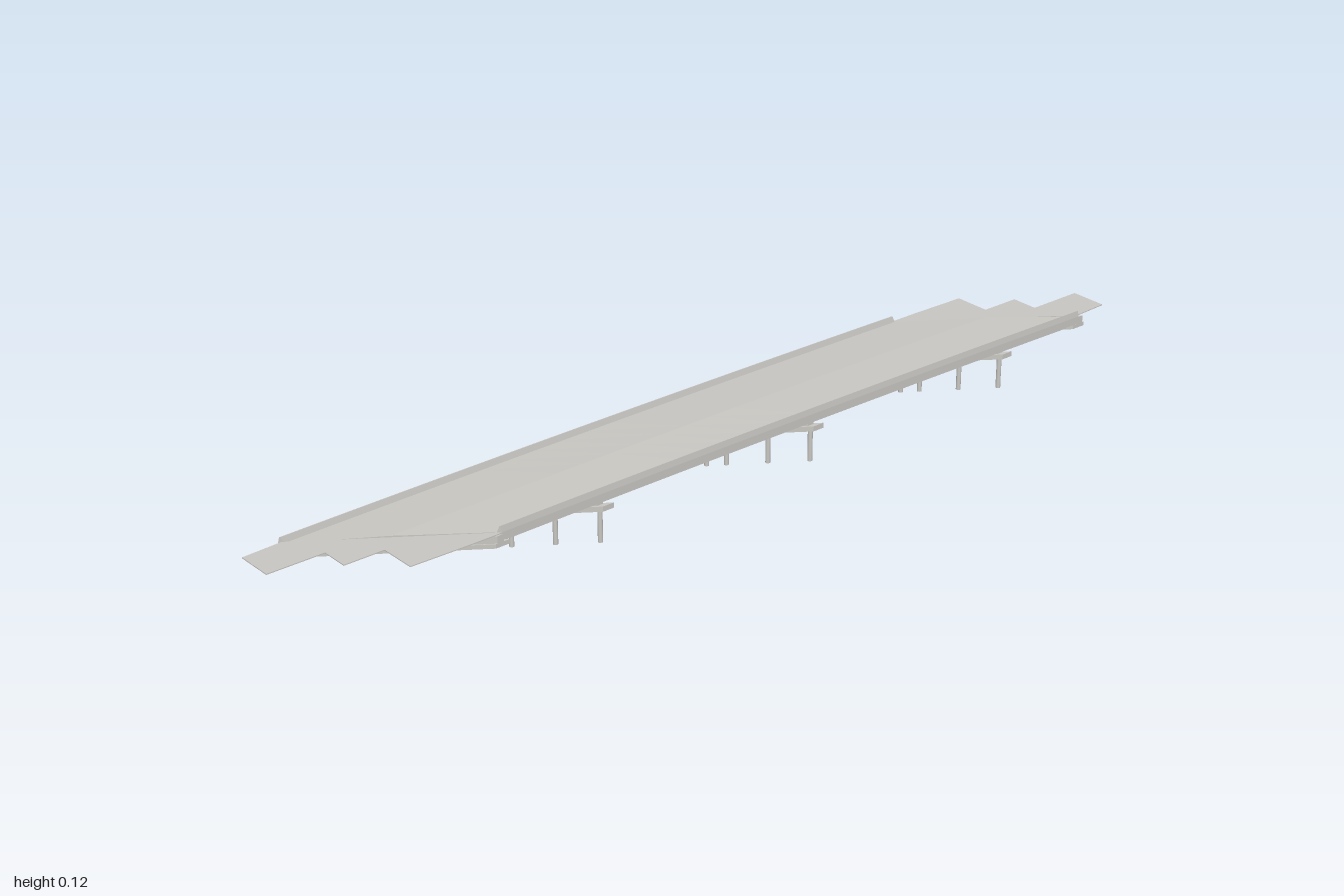
import * as THREE from 'three';

const SKEW = 1.44; // shift in x per unit of z
const camber = (x) => -0.006 * (x / 0.92) ** 2;

// Extrudes a [z, y] section along x, then skews it and bends it to the camber
function skewedPrism(section, x0, x1, { steps = 1, bend = true } = {}) {
  const shape = new THREE.Shape(section.map(([z, y]) => new THREE.Vector2(-z, y)));
  const geo = new THREE.ExtrudeGeometry(shape, { depth: x1 - x0, steps, bevelEnabled: false });
  geo.rotateY(Math.PI / 2);
  const p = geo.attributes.position;
  for (let i = 0; i < p.count; i++) {
    const x = p.getX(i) + x0 + SKEW * p.getZ(i);
    p.setXYZ(i, x, p.getY(i) + (bend ? camber(x) : 0), p.getZ(i));
  }
  geo.computeVertexNormals();
  return geo;
}

const rect = (z0, z1, y0, y1) => [[z0, y0], [z1, y0], [z1, y1], [z0, y1]];

export function createModel() {
  const model = new THREE.Group();
  model.name = 'skewedBridge';
  const concrete = new THREE.MeshStandardMaterial({ color: 0xc8c6c1 });
  concrete.name = 'concrete';
  const add = (name, geo, parent = model) => {
    const mesh = new THREE.Mesh(geo, concrete);
    mesh.name = name;
    parent.add(mesh);
    return mesh;
  };
  const L = 0.755;

  // Crowned deck slab
  add('deck', skewedPrism([
    [-0.115, 0.1], [0.115, 0.1], [0.115, 0.107], [0, 0.111], [-0.115, 0.107],
  ], -L, L, { steps: 24 }));

  // Tapered edge barriers
  for (const s of [-1, 1]) {
    const profile = [[0.115, 0.091], [0.115, 0.107], [0.1135, 0.12], [0.112, 0.12], [0.109, 0.107], [0.111, 0.091]];
    add(s > 0 ? 'frontBarrier' : 'backBarrier',
      skewedPrism(profile.map(([z, y]) => [s * z, y]), -L, L, { steps: 24 }));
  }

  // Longitudinal I-girders
  const girders = new THREE.Group();
  girders.name = 'girders';
  model.add(girders);
  const spacing = 0.0252;
  for (let i = -4; i <= 4; i++) {
    const z = i * spacing;
    const half = [[0.006, 0.084], [0.006, 0.087], [0.002, 0.089], [0.002, 0.097], [0.005, 0.1]];
    const section = [
      ...half.map(([a, y]) => [z + a, y]),
      ...half.slice().reverse().map(([a, y]) => [z - a, y]),
    ];
    add('girder', skewedPrism(section, -L + 0.004, L - 0.004, { steps: 16 }), girders);
  }

  // Cross diaphragms between the girders
  for (let i = -8; i <= 8; i++) {
    const x = i * 0.088;
    add('diaphragm', skewedPrism(rect(-0.1, 0.1, 0.089, 0.1), x - 0.003, x + 0.003, { steps: 1 }), girders);
  }

  // Three piers: a skewed cap on six columns
  const columnZ = [-0.104, -0.057, -0.011, 0.011, 0.057, 0.104];
  for (const x of [-0.512, 0.015, 0.542]) {
    const pier = new THREE.Group();
    pier.name = 'pier';
    model.add(pier);
    add('pierCap', skewedPrism(rect(-0.115, 0.115, 0.068, 0.079), x - 0.013, x + 0.013, { bend: false }), pier);
    add('bearingBeam', skewedPrism(rect(-0.106, 0.106, 0.079, 0.086), x - 0.007, x + 0.007, { bend: false }), pier);
    for (const z of columnZ) {
      add('column', new THREE.CylinderGeometry(0.005, 0.005, 0.069, 16), pier)
        .position.set(x + 1.48 * z, 0.0345, z);
    }
  }

  // Abutments and stepped approach slabs at both ends
  for (const s of [-1, 1]) {
    const xa = s * L;
    add('abutmentSeat', skewedPrism(rect(-0.115, 0.115, 0.076, 0.085), xa - 0.016, xa + 0.016, { bend: false }));
    const back = [xa - s * 0.002, xa + s * 0.012].sort((a, b) => a - b);
    add('abutmentBackwall', skewedPrism(rect(-0.115, 0.115, 0.085, 0.1), back[0], back[1], { bend: false }));

    // Plan outline in [x, z], mirrored through the centre for the other end
    const outline = [
      [0.59, -0.115], [0.665, -0.115], [0.79, -0.112], [0.79, -0.032], [0.877, -0.032], [0.877, 0.028],
      [1, 0.028], [1, 0.108], [0.915, 0.112],
    ];
    const shape = new THREE.Shape(outline.map(([x, z]) => new THREE.Vector2(s * x, -s * z)));
    const slab = new THREE.ExtrudeGeometry(shape, { depth: 0.002, bevelEnabled: false });
    slab.rotateX(-Math.PI / 2);
    slab.translate(0, 0.102, 0);
    add('approachSlab', slab);
  }
  return model;
}
